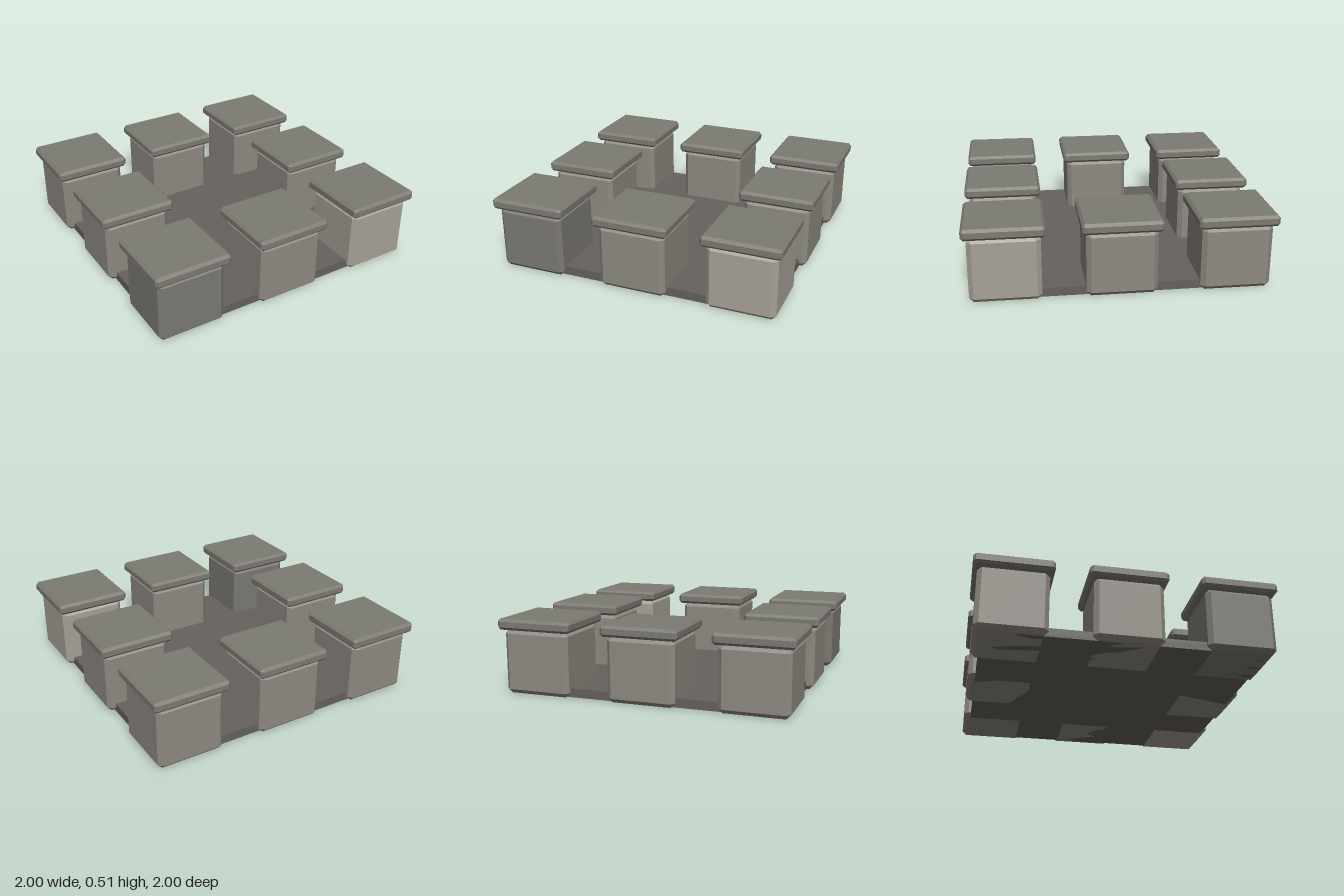
import * as THREE from 'three';
import { ConvexGeometry } from 'three/addons/geometries/ConvexGeometry.js';

// Box with every edge chamfered by b, standing on y = 0
function chamferBox(w, h, d, b) {
  const points = [];
  for (const sx of [-1, 1]) for (const sy of [-1, 1]) for (const sz of [-1, 1]) {
    const x = w / 2, y = h / 2, z = d / 2;
    points.push(
      new THREE.Vector3(sx * x, sy * (y - b) + y, sz * (z - b)),
      new THREE.Vector3(sx * (x - b), sy * y + y, sz * (z - b)),
      new THREE.Vector3(sx * (x - b), sy * (y - b) + y, sz * z)
    );
  }
  return new ConvexGeometry(points);
}

const stone = (color) => new THREE.MeshStandardMaterial({ color, flatShading: true });

export function createModel() {
  const model = new THREE.Group();
  model.name = 'stoneBlocks';

  // Thin square slab under all blocks
  const slab = new THREE.Mesh(new THREE.BoxGeometry(1.84, 0.06, 1.84), stone(0x66625c));
  slab.name = 'baseSlab';
  slab.position.y = 0.03;
  model.add(slab);

  const bodyGeometry = chamferBox(0.46, 0.438, 0.46, 0.03);
  const capGeometry = chamferBox(0.52, 0.074, 0.52, 0.018);
  const capMaterial = stone(0x7d7b73);
  const mid = stone(0x8f8a82), dark = stone(0x7c7a72), light = stone(0xa8a298);

  // Ring of eight capped blocks around an open centre
  for (const i of [-1, 0, 1]) for (const k of [-1, 0, 1]) {
    if (i === 0 && k === 0) continue;
    const block = new THREE.Group();
    block.name = 'block';
    block.position.set(i * 0.74, 0, k * 0.74);

    const tone = k === 1 && i === 1 ? light : k === 1 && i === -1 ? dark : mid;
    const body = new THREE.Mesh(bodyGeometry, tone);
    body.name = 'blockBody';

    const cap = new THREE.Mesh(capGeometry, capMaterial);
    cap.name = 'blockCap';
    cap.position.y = 0.436;

    block.add(body, cap);
    model.add(block);
  }
  return model;
}
